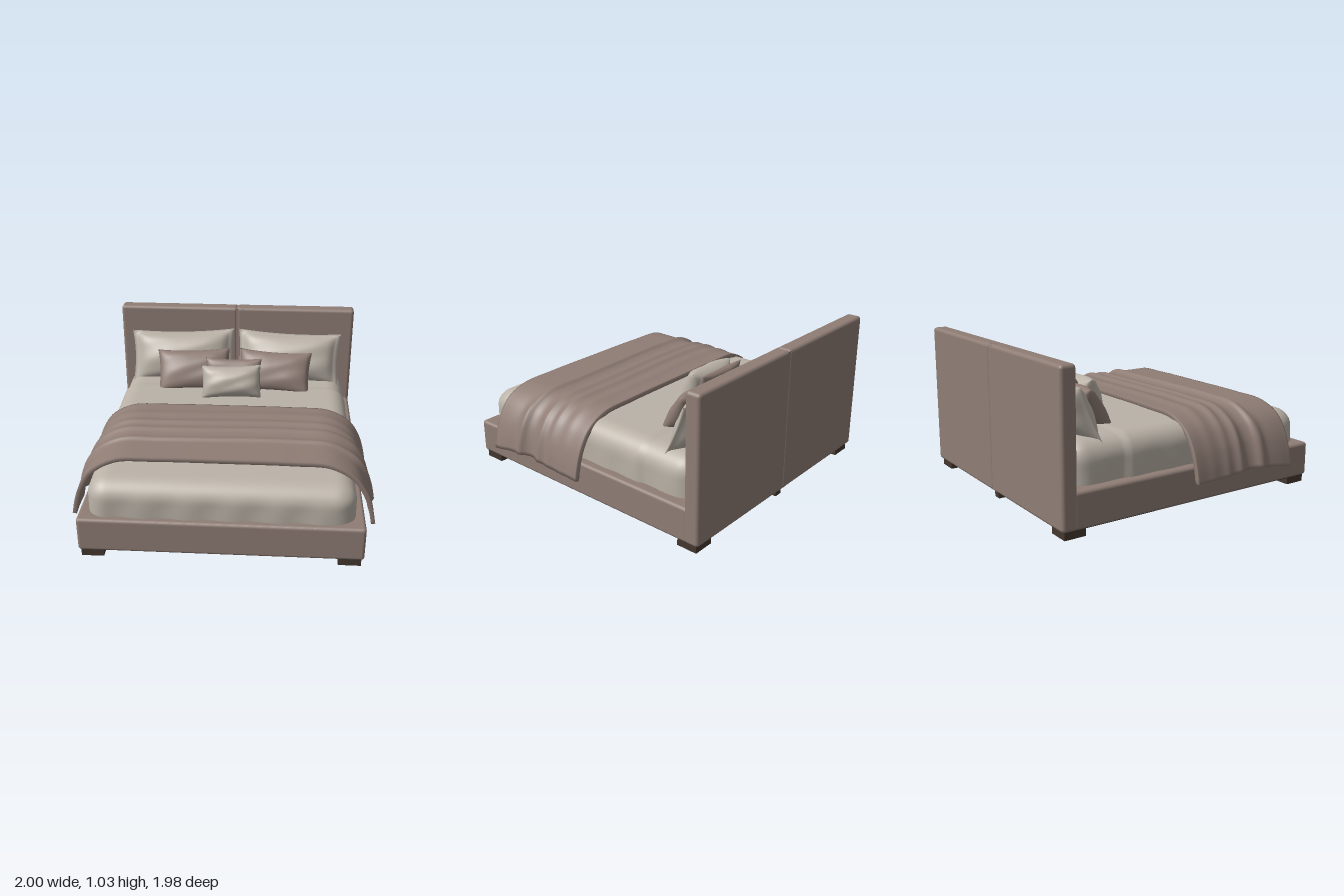
import * as THREE from 'three';
import { mergeGeometries, mergeVertices } from 'three/addons/utils/BufferGeometryUtils.js';
import { RoundedBoxGeometry } from 'three/addons/geometries/RoundedBoxGeometry.js';

const { clamp, smoothstep } = THREE.MathUtils;
const bump = (x, c, w) => Math.exp(-(((x - c) / w) ** 2));

// Weld a geometry, move every vertex by a rule and smooth its normals
function sculpt(geometry, rule) {
  geometry.deleteAttribute('uv');
  geometry.deleteAttribute('normal');
  const g = mergeVertices(geometry, 1e-4);
  const pos = g.attributes.position;
  const p = new THREE.Vector3();
  for (let i = 0; i < pos.count; i++) {
    p.fromBufferAttribute(pos, i);
    rule(p);
    pos.setXYZ(i, p.x, p.y, p.z);
  }
  g.computeVertexNormals();
  return g;
}

// Mattress: a subdivided box with wide round edges, a sloping top and soft skirt folds
function mattressGeometry() {
  const w = 1.68, h = 0.4, d = 1.83, r = 0.13;
  const core = new THREE.Vector3();
  return sculpt(new THREE.BoxGeometry(w, h, d, 64, 16, 72), (p) => {
    core.set(
      clamp(p.x, r - w / 2, w / 2 - r),
      clamp(p.y, r - h / 2, h / 2 - r),
      clamp(p.z, r - d / 2, d / 2 - r));
    p.sub(core).setLength(r).add(core);
    const top = smoothstep(p.y, -0.05, 0.2);
    const skirt = 1 - smoothstep(p.y, -0.02, 0.16);
    const cover = smoothstep(p.z, -0.535, -0.515); // step where the quilt begins
    p.x *= 1 + 0.012 * cover + 0.004 * skirt * Math.sin(p.z * 24);
    p.z += 0.006 * skirt * Math.sin(p.x * 22) * smoothstep(p.z, 0.6, 0.9);
    p.y += top * (0.008 * cover - 0.035 * smoothstep(p.z, 0.3, 0.95));
  });
}

// Throw: a thick sheet swept over the bed, with ridges across and folds down the sides
function throwGeometry() {
  const half = [[0.45, 0.583], [0.7, 0.57], [0.83, 0.5], [0.9, 0.4], [0.94, 0.29], [0.962, 0.185]];
  const pts = [
    ...half.map(([x, y]) => new THREE.Vector3(-x, y, 0)).reverse(),
    new THREE.Vector3(0, 0.585, 0),
    ...half.map(([x, y]) => new THREE.Vector3(x, y, 0))];
  const curve = new THREE.CatmullRomCurve3(pts);
  return sculpt(new THREE.BoxGeometry(2, 1, 0.8, 96, 1, 64), (p) => {
    const u = clamp((p.x + 1) / 2, 0, 1), layer = p.y, z = p.z + 0.35;
    const c = curve.getPointAt(u), t = curve.getTangentAt(u);
    const side = smoothstep(Math.abs(c.x), 0.72, 0.94);
    const zr = z + 0.012 * Math.sin(c.x * 4); // ridges wander a little
    const ridges = 0.016 * bump(zr, 0.22, 0.03) + 0.01 * bump(zr, 0.1, 0.04)
      + 0.012 * bump(zr, 0.32, 0.025) + 0.018 * bump(zr, 0.48, 0.02) - 0.008 * bump(zr, 0.4, 0.04);
    const folds = 0.022 * bump(z, 0.5, 0.035) - 0.014 * bump(z, 0.4, 0.06)
      + 0.012 * bump(z, 0.32, 0.03) + 0.014 * smoothstep(z, 0.5, 0.7) + 0.008 * bump(z, -0.05, 0.08);
    const off = layer * 0.028 + ridges * (1 - 0.6 * side) + folds * side;
    const hem = side * side * (0.022 * bump(z, 0.4, 0.18) - 0.015 * smoothstep(z, 0.6, 0.75));
    const flare = smoothstep(Math.abs(c.x), 0.6, 0.9);
    const front = smoothstep(z, 0.2, 0.75) * (0.025 * flare - 0.02);
    p.set(c.x - t.y * off, c.y + t.x * off + hem, z + front);
  });
}

// Cushion: two mirrored puffed panels with pulled-in edges; flange is a flat border
function cushionGeometry(w, h, t, flange = 0) {
  const panel = new THREE.PlaneGeometry(2, 2, 36, 28);
  const back = panel.clone().rotateY(Math.PI);
  const inner = 1 - flange;
  const puff = (u, v) => {
    const a = Math.min(Math.abs(u) / inner, 1), b = Math.min(Math.abs(v) / inner, 1);
    return Math.sqrt((1 - a ** 3) * (1 - b ** 2.4));
  };
  const shape = (sign) => (p) => {
    const u = p.x, v = p.y, f = puff(u, v);
    const crease = 1 + 0.05 * Math.sin(u * 9 + v * 5) * Math.abs(u * v) + 0.04 * Math.sin(v * 7 - u * 4);
    const rim = 0.006 * (1 - Math.max(Math.abs(u), Math.abs(v)));
    p.x = (w / 2) * u * (1 - 0.05 * (1 - v * v));
    p.y = (h / 2) * v * (1 - 0.1 * (1 - u * u));
    p.z = sign * ((t / 2) * f * crease + rim);
  };
  const both = mergeGeometries([sculpt(panel, shape(1)), sculpt(back, shape(-1))]);
  return sculpt(both, () => {});
}

export function createModel() {
  const taupe = new THREE.MeshStandardMaterial({ color: 0x8f7d75 });
  const linen = new THREE.MeshStandardMaterial({ color: 0xbab2a7 });
  const darkWood = new THREE.MeshStandardMaterial({ color: 0x44382f });
  const blackCloth = new THREE.MeshStandardMaterial({ color: 0x231e1b });
  taupe.name = 'taupe fabric';
  linen.name = 'light linen';
  darkWood.name = 'dark wood';
  blackCloth.name = 'black cloth';

  const bed = new THREE.Group();
  bed.name = 'bed';
  const add = (name, geometry, material, x = 0, y = 0, z = 0, tilt = 0, turn = 0, roll = 0) => {
    const mesh = new THREE.Mesh(geometry, material);
    mesh.name = name;
    mesh.position.set(x, y, z);
    mesh.rotation.set(-tilt, turn, roll, 'YXZ');
    bed.add(mesh);
    return mesh;
  };

  // Upholstered base and its dark underside
  add('base', new RoundedBoxGeometry(1.82, 0.235, 1.9, 4, 0.022), taupe, 0, 0.1675, 0.04);
  add('underside', new THREE.BoxGeometry(1.77, 0.006, 1.92), blackCloth, 0, 0.047, 0);

  // Headboard in two padded halves, with a core that keeps the seam shallow
  for (const s of [-1, 1]) {
    add('headboardHalf', new RoundedBoxGeometry(0.914, 0.985, 0.108, 4, 0.024), taupe, s * 0.455, 0.5425, -0.937);
  }
  add('headboardCore', new THREE.BoxGeometry(0.1, 0.97, 0.098), taupe, 0, 0.5425, -0.937);

  // Feet
  for (const x of [-0.82, 0.82]) {
    for (const z of [-0.895, 0.9]) add('foot', new THREE.BoxGeometry(0.145, 0.055, 0.145), darkWood, x, 0.0275, z);
  }
  add('middleFoot', new THREE.BoxGeometry(0.06, 0.05, 0.06), darkWood, 0, 0.025, -0.93);

  // Bedding
  add('mattress', mattressGeometry(), linen, 0, 0.345, 0.035);
  add('throw', throwGeometry(), taupe);

  // Pillows in pairs, then the small ones in the middle
  const sham = cushionGeometry(0.8, 0.41, 0.22, 0.09);
  const cushion = cushionGeometry(0.55, 0.33, 0.16);
  for (const s of [-1, 1]) {
    add('sleepingPillow', sham, linen, s * 0.41, 0.69, -0.735, 0.42, s * -0.04, s * -0.02);
    add('cushion', cushion, taupe, s * 0.305, 0.66, -0.525, 0.6, s * -0.05, s * -0.03);
  }
  add('backCushion', cushionGeometry(0.42, 0.24, 0.09), taupe, 0, 0.675, -0.43, 0.35);
  add('smallPillow', cushionGeometry(0.44, 0.245, 0.17), linen, -0.01, 0.66, -0.325, 0.42, 0.04, 0.02);
  return bed;
}
